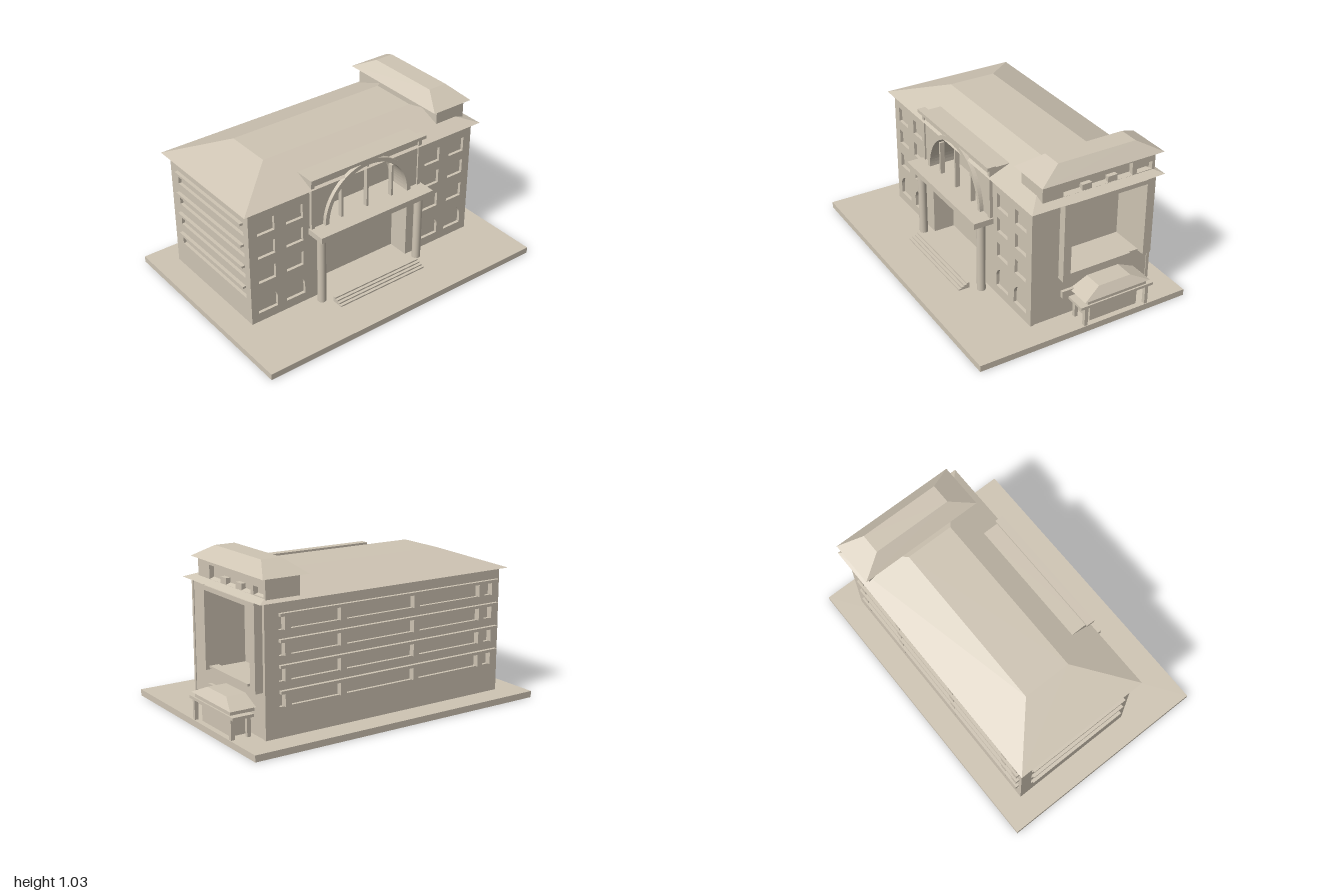
import * as THREE from 'three';

const stone = new THREE.MeshStandardMaterial({ color: 0xcfc5b4 });
stone.name = 'warm stone';

export function createModel() {
  const model = new THREE.Group();
  model.name = 'building';

  const add = (name, geometry) => {
    const mesh = new THREE.Mesh(geometry, stone);
    mesh.name = name;
    model.add(mesh);
    return mesh;
  };

  // Box given by its extents
  const box = (name, x0, x1, y0, y1, z0, z1) => {
    const g = new THREE.BoxGeometry(x1 - x0, y1 - y0, z1 - z0);
    g.translate((x0 + x1) / 2, (y0 + y1) / 2, (z0 + z1) / 2);
    return add(name, g);
  };

  // Hipped roof: a box whose top corners are moved inwards
  const hipRoof = (name, [x0, x1, z0, z1], [a0, a1, b0, b1], y0, y1) => {
    const g = new THREE.BoxGeometry(1, 1, 1);
    const p = g.attributes.position;
    for (let i = 0; i < p.count; i++) {
      const top = p.getY(i) > 0, right = p.getX(i) > 0, front = p.getZ(i) > 0;
      const x = top ? (right ? a1 : a0) : (right ? x1 : x0);
      const z = top ? (front ? b1 : b0) : (front ? z1 : z0);
      p.setXYZ(i, x, top ? y1 : y0, z);
    }
    g.computeVertexNormals();
    return add(name, g);
  };

  const outline = (path, x0, x1, y0, y1) => {
    path.moveTo(x0, y0);
    path.lineTo(x1, y0);
    path.lineTo(x1, y1);
    path.lineTo(x0, y1);
    path.closePath();
    return path;
  };
  const rectHole = (...r) => outline(new THREE.Path(), ...r);

  // Rectangle with a round top
  const archHole = (cx, r, y0, spring) => {
    const p = new THREE.Path();
    p.moveTo(cx - r, y0);
    p.lineTo(cx + r, y0);
    p.lineTo(cx + r, spring);
    p.absarc(cx, spring, r, 0, Math.PI, false);
    p.closePath();
    return p;
  };

  // Wall plate with openings
  const wall = (name, rect, holes, depth) => {
    const shape = outline(new THREE.Shape(), ...rect);
    shape.holes.push(...holes);
    return add(name, new THREE.ExtrudeGeometry(shape, { depth, bevelEnabled: false, curveSegments: 20 }));
  };
  // Same, but facing sideways; shape x runs along -z
  const sideWall = (name, rect, holes, x0, x1) => {
    const m = wall(name, rect, holes, x1 - x0);
    m.geometry.rotateY(Math.PI / 2);
    m.geometry.translate(x0, 0, 0);
    return m;
  };

  // Ground slab and main masses
  box('baseSlab', -1, 1, 0, 0.04, -0.705, 0.705);
  box('bodyCore', -0.82, 0.62, 0.04, 0.82, -0.53, 0.14);
  box('leftFrontWing', -0.82, -0.33, 0.04, 0.82, 0.1, 0.26);
  box('rightFrontWing', 0.33, 0.835, 0.04, 0.82, 0.045, 0.26);
  box('rightBackWing', 0.6, 0.835, 0.04, 0.82, -0.53, -0.465);
  box('rightLowerWall', 0.6, 0.835, 0.04, 0.32, -0.47, 0.05);
  box('loggiaCeiling', 0.6, 0.835, 0.79, 0.82, -0.47, 0.05);

  // Front walls with recessed windows
  for (const s of [-1, 1]) {
    const holes = [];
    for (const cx of [0.722, 0.523]) {
      for (const y of [0.645, 0.485, 0.312])
        holes.push(rectHole(s * cx - 0.06, s * cx + 0.06, y, y + 0.096));
      holes.push(archHole(s * cx, 0.068, 0.1, 0.165));
    }
    const rect = s < 0 ? [-0.84, -0.33, 0.04, 0.82] : [0.33, 0.84, 0.04, 0.82];
    wall('frontWall', rect, holes, 0.02).position.z = 0.26;
  }

  // Back and left walls with strip windows, sills and piers
  const backBands = [], leftBands = [];
  for (let i = 0; i < 4; i++) {
    const yb = 0.737 - i * 0.1465, yl = 0.722 - i * 0.1465;
    backBands.push(rectHole(-0.82, 0.75, yb - 0.077, yb));
    leftBands.push(rectHole(-0.23, 0.47, yl - 0.075, yl));
    box('backLedge', -0.82, 0.75, yb, yb + 0.018, -0.573, -0.545);
    box('leftLedge', -0.862, -0.835, yl, yl + 0.015, -0.47, 0.23);
    for (const x of [0.7, 0.33, -0.19, -0.69, -0.79])
      box('backPier', x - 0.02, x + 0.02, yb - 0.077, yb, -0.568, -0.525);
  }
  wall('backWall', [-0.84, 0.84, 0.04, 0.82], backBands, 0.02).position.z = -0.55;
  sideWall('leftWall', [-0.27, 0.54, 0.04, 0.82], leftBands, -0.84, -0.82);

  // Main roof
  hipRoof('mainRoof', [-0.88, 0.885, -0.585, 0.31], [-0.55, 0.55, -0.29, 0.02], 0.822, 0.94);

  // Roof tower with clerestory openings
  box('towerCore', 0.61, 0.8, 0.8, 0.96, -0.55, 0.21);
  sideWall('towerSideWall', [-0.21, 0.55, 0.8, 0.96],
    [rectHole(-0.075, 0.392, 0.842, 0.925), rectHole(0.423, 0.53, 0.845, 0.895)], 0.8, 0.83);
  for (const z of [-0.085, -0.258])
    box('clerestoryBlock', 0.79, 0.828, 0.842, 0.88, z - 0.032, z + 0.032);
  hipRoof('towerRoof', [0.57, 0.865, -0.585, 0.235], [0.655, 0.785, -0.435, 0.085], 0.957, 1.035);

  // Projecting frame around the side loggia
  box('loggiaFrontPost', 0.83, 0.885, 0.31, 0.82, 0.045, 0.095);
  box('loggiaBackPost', 0.83, 0.885, 0.31, 0.82, -0.52, -0.465);
  box('loggiaBeam', 0.83, 0.885, 0.79, 0.818, -0.47, 0.05);
  box('loggiaSill', 0.8, 0.86, 0.318, 0.332, -0.392, 0.045);

  // Entrance portico
  box('porticoBeam', -0.425, 0.425, 0.513, 0.55, 0.14, 0.41);
  for (const s of [-1, 1]) {
    const column = add('porticoColumn', new THREE.CylinderGeometry(0.027, 0.027, 0.474, 24));
    column.position.set(s * 0.373, 0.277, 0.337);
    box('pilaster', s * 0.403 - 0.012, s * 0.403 + 0.012, 0.55, 0.875, 0.2, 0.3);
  }
  for (let i = 0; i < 4; i++)
    box('entranceStep', -0.325, 0.325, 0.04 + i * 0.009, 0.049 + i * 0.009, 0.39, 0.465 - i * 0.019);

  // Arched upper facade and parapet
  wall('archWall', [-0.392, 0.392, 0.545, 0.878], [archHole(0, 0.3, 0.5451, 0.552)], 0.15).position.z = 0.14;
  const ring = new THREE.Shape();
  ring.absarc(0, 0.55, 0.325, 0, Math.PI, false);
  ring.absarc(0, 0.55, 0.298, Math.PI, 0, true);
  ring.closePath();
  add('archRing', new THREE.ExtrudeGeometry(ring, { depth: 0.035, bevelEnabled: false, curveSegments: 28 })).position.z = 0.28;
  for (const [x, top] of [[-0.19, 0.765], [0, 0.855], [0.19, 0.765]])
    box('archMullion', x - 0.007, x + 0.007, 0.55, top, 0.27, 0.3);
  box('parapet', -0.415, 0.415, 0.855, 0.88, 0.16, 0.275);
  box('parapetCornice', -0.43, 0.43, 0.875, 0.896, 0.268, 0.322);

  // Side porch
  box('porchRoom', 0.83, 0.965, 0.04, 0.17, -0.375, -0.045);
  box('porchSlab', 0.865, 1, 0.163, 0.18, -0.465, 0.04);
  box('porchAttic', 0.83, 0.99, 0.18, 0.21, -0.42, -0.01);
  hipRoof('porchRoof', [0.835, 1, -0.44, 0.015], [0.835, 0.958, -0.325, -0.105], 0.207, 0.26);
  for (const z of [0, -0.425])
    for (const x of [0.88, 0.983])
      box('porchPost', x - 0.012, x + 0.012, 0.04, 0.165, z - 0.011, z + 0.011);
  box('porchLedge', 0.83, 0.855, 0.172, 0.216, -0.01, 0.075);

  return model;
}
